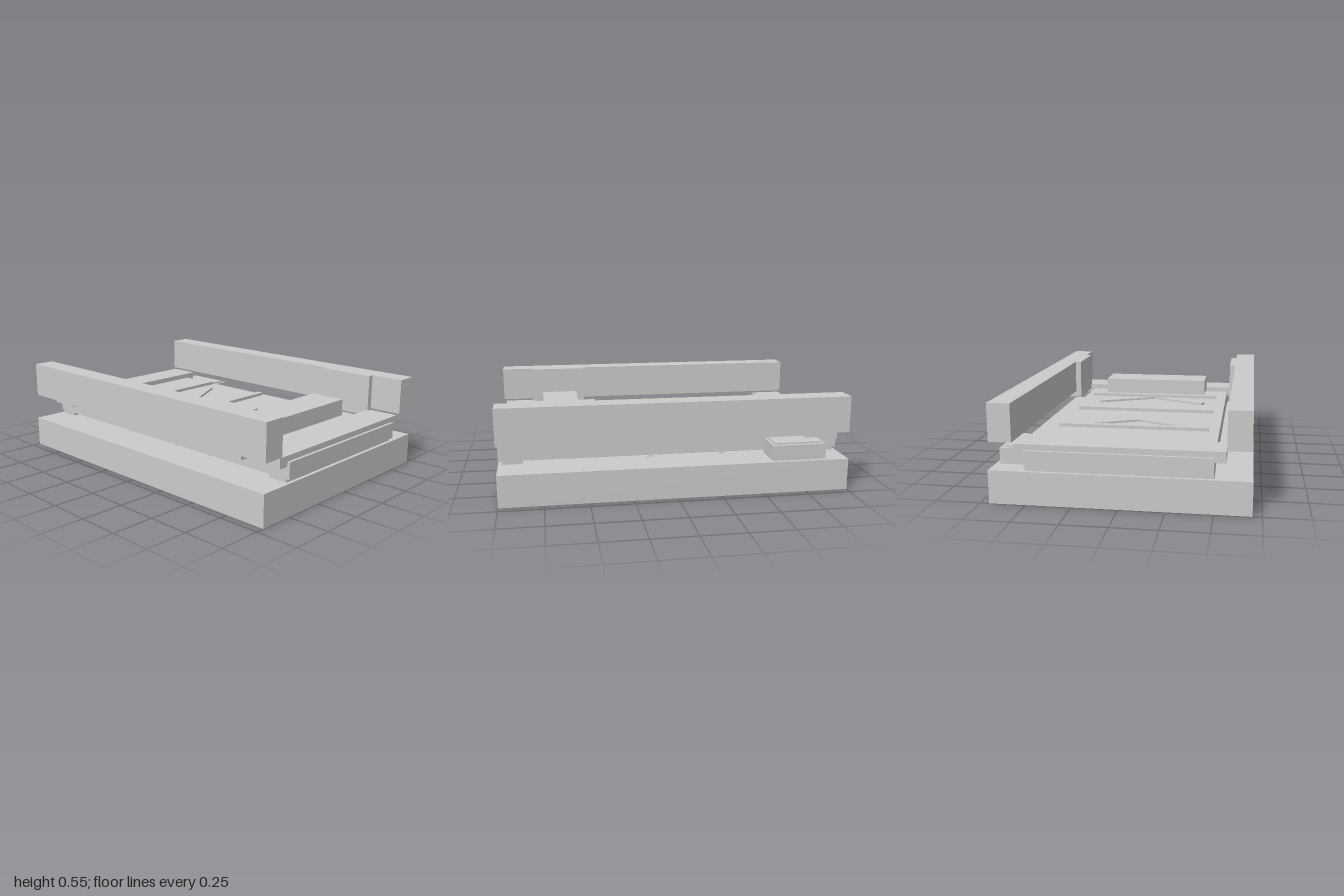
import * as THREE from 'three';

const material = new THREE.MeshStandardMaterial({ color: 0xcccccc, flatShading: true });

export function createModel() {
  const model = new THREE.Group();
  model.name = 'slidingBed';

  // Box given by its low and high limits on each axis
  const box = (name, [x0, x1], [y0, y1], [z0, z1]) => {
    const mesh = new THREE.Mesh(new THREE.BoxGeometry(x1 - x0, y1 - y0, z1 - z0), material);
    mesh.position.set((x0 + x1) / 2, (y0 + y1) / 2, (z0 + z1) / 2);
    mesh.name = name;
    model.add(mesh);
    return mesh;
  };

  // Base and the deck held just above it
  box('base', [-0.7, 0.7], [0, 0.185], [-1, 1]);
  box('deck', [-0.5, 0.5], [0.204, 0.3], [-1, 1]);

  // Side rails, each with a thicker guide block near the front
  for (const s of [-1, 1]) {
    const span = (a, b) => (s > 0 ? [a, b] : [-b, -a]);
    box('sideRail', span(0.563, 0.69), [0.342, 0.552], [-1, 1]);
    box('railGuide', span(0.527, 0.648), [0.3, 0.552], [0.45, 0.8]);
  }

  // Bars and spacers at both ends
  for (const s of [-1, 1]) {
    const span = (a, b) => (s > 0 ? [a, b] : [-b, -a]);
    box('endBar', [-0.56, 0.56], [0.272, 0.332], span(0.787, 0.983));
    box('endSpacer', [-0.5, 0.5], [0.185, 0.204], span(0.865, 0.98));
  }

  // Low ridges between base and deck
  for (const z of [0.13, -0.3]) {
    const shape = new THREE.Shape();
    shape.moveTo(-0.025, 0).lineTo(0.025, 0).lineTo(0, 0.012).closePath();
    const ridge = new THREE.Mesh(
      new THREE.ExtrudeGeometry(shape, { depth: 0.945, bevelEnabled: false }), material);
    ridge.rotation.y = Math.PI / 2;
    ridge.position.set(-0.4725, 0.184, z);
    ridge.name = 'baseRidge';
    model.add(ridge);
  }

  // Thin cross bars above the deck
  for (const z of [-0.475, 0, 0.465]) {
    box('crossBar', [-0.438, 0.436], [0.313, 0.332], [z - 0.02, z + 0.02]);
  }

  // V-shaped marks made of two slanted strips
  for (const z of [-0.315, 0.385]) {
    for (const s of [-1, 1]) {
      const strip = box('chevronStrip', [-0.2, 0.2], [0.299, 0.313], [-0.02, 0.02]);
      strip.position.x = s * 0.175;
      strip.position.z = z;
      strip.rotation.y = s * Math.atan(0.5);
    }
  }

  // Raised block at the front of the deck
  box('raisedBlock', [-0.35, 0.347], [0.326, 0.426], [0.512, 0.732]);

  // Side box with a thin lid, on one side only
  box('sideBox', [0.49, 0.675], [0.185, 0.275], [-0.87, -0.555]);
  box('sideBoxLid', [0.515, 0.653], [0.275, 0.284], [-0.853, -0.572]);

  return model;
}
